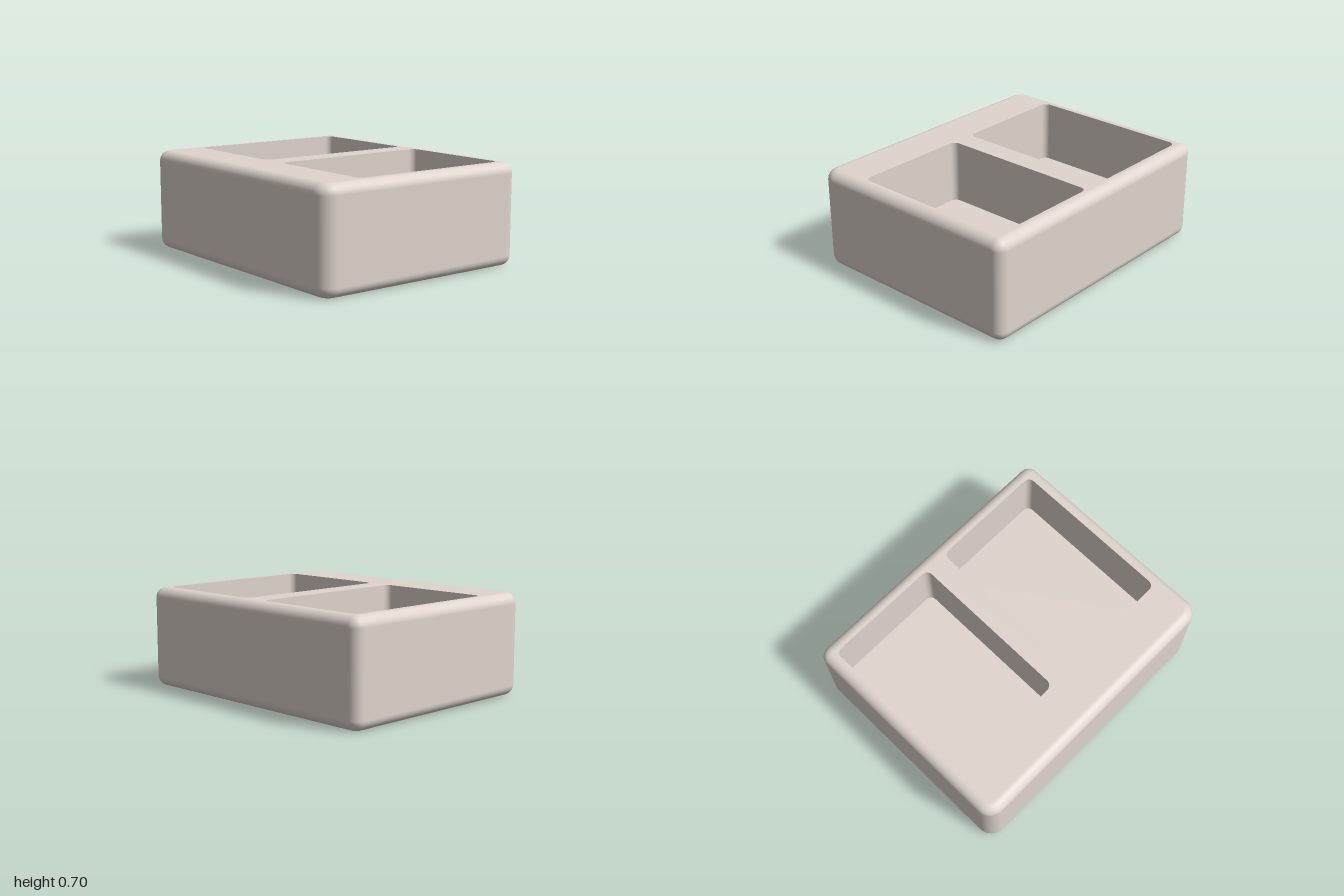
import * as THREE from 'three';

const H = 0.7, FILLET = 0.072, FLOOR = 0.26;

// Counter-clockwise rounded rectangle: points with outward directions
function outline(x0, x1, y0, y1, rLeft, rRight, inset = 0, steps = 10) {
  const corners = [
    [x1 - rRight, y1 - rRight, rRight],
    [x0 + rLeft, y1 - rLeft, rLeft],
    [x0 + rLeft, y0 + rLeft, rLeft],
    [x1 - rRight, y0 + rRight, rRight],
  ];
  const pts = [];
  corners.forEach(([cx, cy, r], q) => {
    for (let i = 0; i <= steps; i++) {
      const a = (q + i / steps) * Math.PI / 2, dx = Math.cos(a), dy = Math.sin(a);
      pts.push({ x: cx + (r - inset) * dx, y: cy + (r - inset) * dy, dx, dy });
    }
  });
  return pts;
}

// Sweeps a profile of { out, h, nOut, nUp } around an outline
function skirt(pts, profile) {
  const pos = [], nor = [], idx = [], n = pts.length;
  for (const s of profile) for (const p of pts) {
    pos.push(p.x + p.dx * s.out, p.y + p.dy * s.out, s.h);
    nor.push(p.dx * s.nOut, p.dy * s.nOut, s.nUp);
  }
  for (let j = 0; j < profile.length - 1; j++) for (let i = 0; i < n; i++) {
    const k = (i + 1) % n, a = j * n + i, b = j * n + k;
    idx.push(a, b, b + n, a, b + n, a + n);
  }
  const g = new THREE.BufferGeometry();
  g.setAttribute('position', new THREE.Float32BufferAttribute(pos, 3));
  g.setAttribute('normal', new THREE.Float32BufferAttribute(nor, 3));
  g.setIndex(idx);
  return g.rotateX(-Math.PI / 2);
}

const toVectors = (pts) => pts.map((p) => new THREE.Vector2(p.x, p.y));

// Flat horizontal panel, facing up
function panel(pts, y, holes = []) {
  const shape = new THREE.Shape(toVectors(pts));
  holes.forEach((h) => shape.holes.push(new THREE.Path(toVectors(h))));
  return new THREE.ShapeGeometry(shape).rotateX(-Math.PI / 2).translate(0, y, 0);
}

export function createModel() {
  const group = new THREE.Group();
  const material = new THREE.MeshStandardMaterial({ color: 0xe0d5ce });
  const add = (name, geometry, parent = group) => {
    const mesh = new THREE.Mesh(geometry, material);
    mesh.name = name;
    parent.add(mesh);
  };

  // Outer shell: rounded bottom edge, straight wall, rounded top edge
  const body = outline(-0.8, 0.8, -1, 1, 0.11, 0.076, FILLET);
  const profile = [];
  for (const [start, h] of [[-Math.PI / 2, FILLET], [0, H - FILLET]]) {
    for (let i = 0; i <= 10; i++) {
      const a = start + (i / 10) * Math.PI / 2, c = Math.cos(a), s = Math.sin(a);
      profile.push({ out: FILLET * c, h: h + FILLET * s, nOut: c, nUp: s });
    }
  }
  add('outerWall', skirt(body, profile));

  // Two open compartments, set toward the thin-walled side
  const pockets = [[-0.91, -0.08], [0.08, 0.91]].map(
    ([a, b]) => outline(-0.46, 0.71, a, b, 0.045, 0.045));
  add('topFace', panel(body, H, pockets));
  add('underside', panel(body, 0).rotateX(Math.PI));

  pockets.forEach((pts, i) => {
    const pocket = new THREE.Group();
    pocket.name = i ? 'backCompartment' : 'frontCompartment';
    add('compartmentWall', skirt(pts, [
      { out: 0, h: H, nOut: -1, nUp: 0 },
      { out: 0, h: FLOOR, nOut: -1, nUp: 0 },
    ]), pocket);
    add('compartmentFloor', panel(pts, FLOOR), pocket);
    group.add(pocket);
  });
  return group;
}
